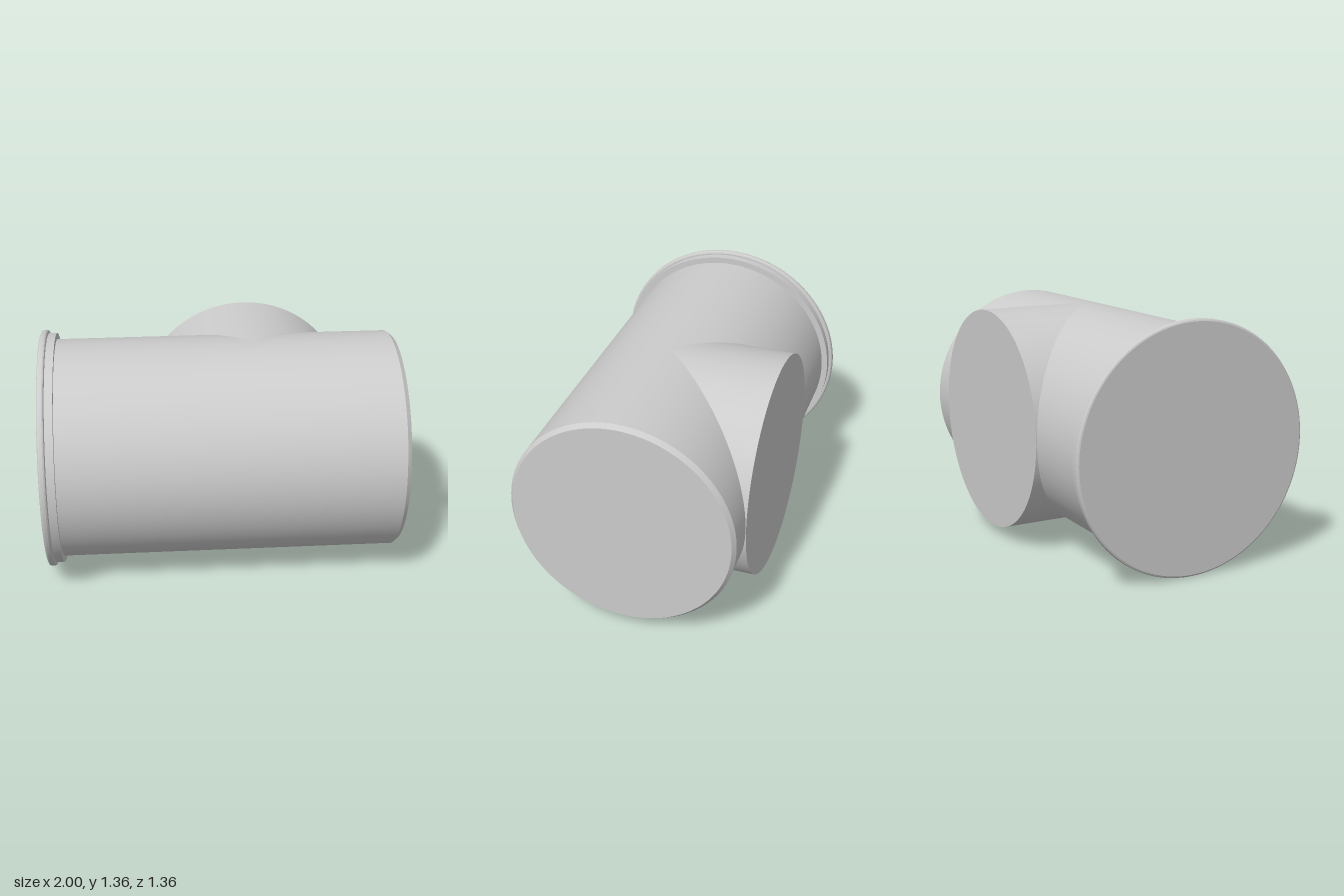
import * as THREE from 'three';
import { toCreasedNormals } from 'three/addons/utils/BufferGeometryUtils.js';

const R = 0.625, AXIS_Y = 0.68, BRANCH_X = 0.19, BRANCH_END = -0.628, SIDES = 128;

export function createModel() {
  const model = new THREE.Group();
  model.name = 'pipeTee';
  const material = new THREE.MeshStandardMaterial({ color: 0xcccccc });

  const add = (name, geometry, x = 0, z = 0) => {
    const mesh = new THREE.Mesh(geometry, material);
    mesh.name = name;
    mesh.position.set(x, AXIS_Y, z);
    model.add(mesh);
  };

  // Part turned about the x axis from [radius, x] points
  const turned = (points) => toCreasedNormals(
    new THREE.LatheGeometry(points.map(([r, x]) => new THREE.Vector2(r, x)), SIDES).rotateZ(-Math.PI / 2), 0.4);

  // Main pipe wall along x, each end trimmed by a rule of z
  const mainWall = (from, to) => {
    const geometry = new THREE.CylinderGeometry(R, R, 1, SIDES, 1, true).rotateZ(-Math.PI / 2);
    const p = geometry.attributes.position;
    for (let i = 0; i < p.count; i++) {
      const z = p.getZ(i);
      p.setX(i, THREE.MathUtils.lerp(from(z), to(z), p.getX(i) + 0.5));
    }
    return geometry;
  };
  const mitre = (z) => Math.max(0, -z);
  add('mainPipeRightHalf', mainWall(() => -0.915, (z) => BRANCH_X - mitre(z)));
  add('mainPipeLeftHalf', mainWall((z) => BRANCH_X + mitre(z), () => 0.975));

  // Socket collar with a rounded lip and closed end
  add('socketCollar', turned([
    [0, -1], [0.668, -1], [0.676, -0.996], [0.68, -0.988], [0.68, -0.972],
    [0.676, -0.964], [0.668, -0.96], [0.66, -0.96], [0.66, -0.915], [R, -0.915],
  ]));

  // Chamfered spigot end
  add('spigotEnd', turned([[R, 0.975], [0.605, 1], [0, 1]]));

  // Branch wall, mitred where it meets the main pipe
  const branch = new THREE.CylinderGeometry(R, R, 1, SIDES, 1, true).rotateX(-Math.PI / 2);
  const p = branch.attributes.position;
  for (let i = 0; i < p.count; i++) {
    p.setZ(i, THREE.MathUtils.lerp(-Math.abs(p.getX(i)), BRANCH_END, 0.5 - p.getZ(i)));
  }
  add('branchPipe', branch, BRANCH_X);
  add('branchEnd', new THREE.CircleGeometry(R, SIDES).rotateY(Math.PI), BRANCH_X, BRANCH_END);

  return model;
}
